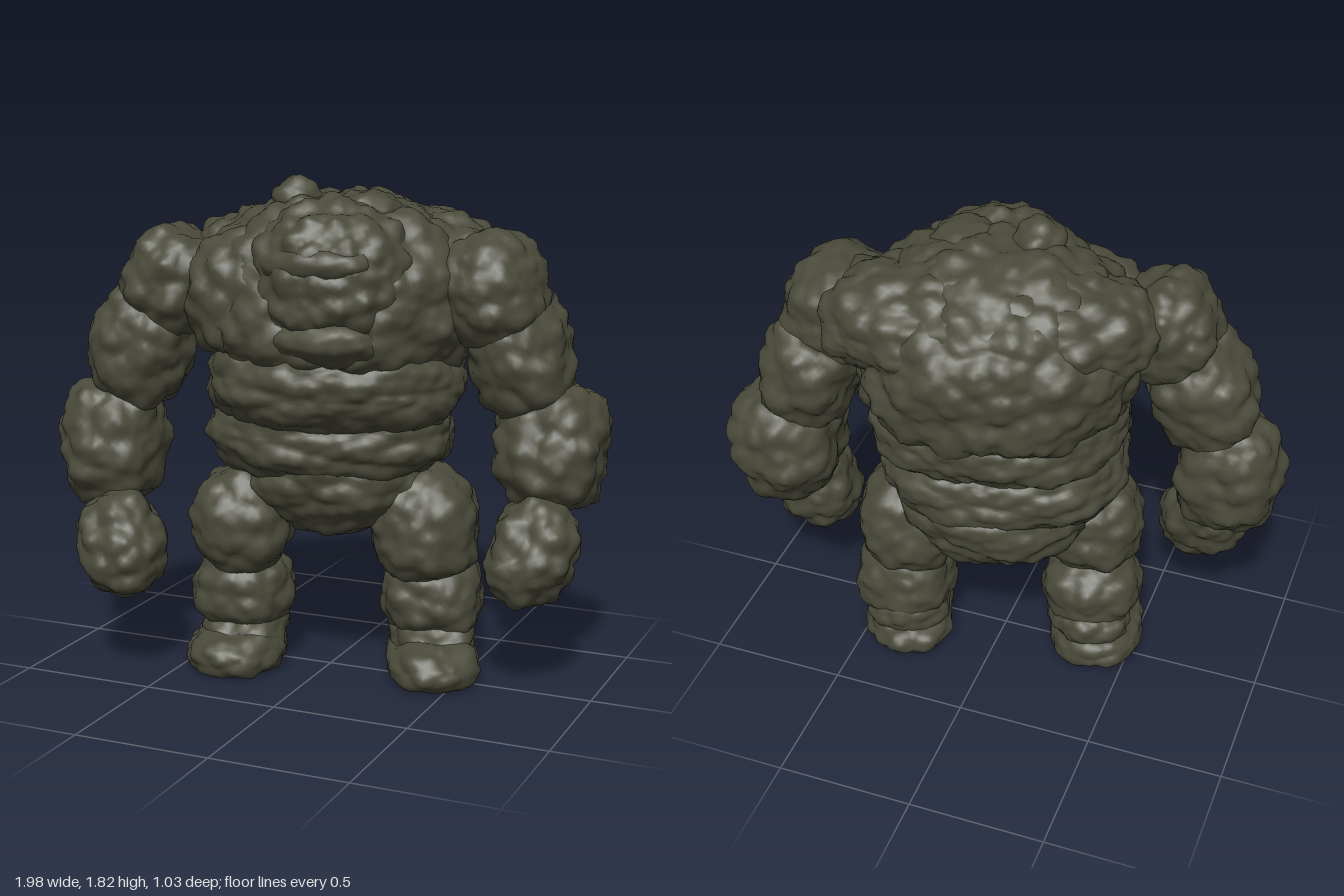
import * as THREE from 'three';
import { mergeVertices } from 'three/addons/utils/BufferGeometryUtils.js';

const stone = new THREE.MeshStandardMaterial({ color: 0x4a4a3b });
stone.name = 'dark olive stone';

// seeded value in 0..1 for a lattice cell
function hash(x, y, z, k) {
  const s = Math.sin(x * 127.1 + y * 311.7 + z * 74.7 + k * 53.3) * 43758.5453;
  return s - Math.floor(s);
}

// distance to the nearest scattered point: low on cobbles, high in the cracks
function cobble(x, y, z) {
  const cx = Math.floor(x), cy = Math.floor(y), cz = Math.floor(z);
  let best = 9;
  for (let i = cx - 1; i <= cx + 1; i++)
    for (let j = cy - 1; j <= cy + 1; j++)
      for (let k = cz - 1; k <= cz + 1; k++) {
        const dx = i + hash(i, j, k, 1) - x;
        const dy = j + hash(i, j, k, 2) - y;
        const dz = k + hash(i, j, k, 3) - z;
        best = Math.min(best, dx * dx + dy * dy + dz * dz);
      }
  return Math.sqrt(best);
}

// a rounded boulder whose surface is broken into cobbles
function boulder(parent, name, centre, radii, opt = {}) {
  const { detail = 13, cell = [0.13, 0.11, 0.13], amp = 0.045, n = 2.4, rot = [0, 0, 0], floor = -1 } = opt;
  let geo = new THREE.IcosahedronGeometry(1, detail);
  geo.deleteAttribute('uv');
  geo.deleteAttribute('normal');
  geo = mergeVertices(geo, 1e-4);
  const turn = new THREE.Euler(...rot);
  const c = new THREE.Vector3(...centre);
  const r = new THREE.Vector3(...radii);
  const p = geo.attributes.position;
  const v = new THREE.Vector3(), dir = new THREE.Vector3();
  for (let i = 0; i < p.count; i++) {
    v.fromBufferAttribute(p, i);
    const s = (Math.abs(v.x) ** n + Math.abs(v.y) ** n + Math.abs(v.z) ** n) ** (-1 / n);
    dir.copy(v).divide(r).normalize().applyEuler(turn);
    v.multiplyScalar(s).multiply(r).applyEuler(turn).add(c);
    const big = cobble(v.x / cell[0], v.y / cell[1], v.z / cell[2]);
    const small = cobble(v.x / 0.06 + 9, v.y / 0.05, v.z / 0.06);
    v.addScaledVector(dir, amp * (0.45 - big) + 0.02 * (0.5 - small));
    v.y = Math.max(v.y, floor);
    p.setXYZ(i, v.x, v.y, v.z);
  }
  geo.computeVertexNormals();
  const mesh = new THREE.Mesh(geo, stone);
  mesh.name = name;
  parent.add(mesh);
}

function group(parent, name) {
  const g = new THREE.Group();
  g.name = name;
  parent.add(g);
  return g;
}

export function createModel() {
  const model = new THREE.Group();
  model.name = 'rockGiant';

  // torso, twisted so that its left side lies back
  const torso = group(model, 'torso');
  const twist = [0, 0.25, 0];
  boulder(torso, 'upperBack', [0.02, 1.5, -0.11], [0.6, 0.24, 0.32],
    { detail: 25, cell: [0.11, 0.11, 0.11], amp: 0.05, n: 2.1, rot: twist });
  boulder(torso, 'chest', [0.01, 1.37, -0.05], [0.5, 0.4, 0.44],
    { detail: 28, cell: [0.13, 0.13, 0.13], amp: 0.055, n: 2.2, rot: twist });
  boulder(torso, 'rightPectoral', [-0.24, 1.4, 0.18], [0.23, 0.25, 0.19],
    { detail: 12, cell: [0.11, 0.11, 0.11], n: 2.1 });
  boulder(torso, 'belly', [0.01, 1.1, -0.03], [0.475, 0.22, 0.4],
    { detail: 24, cell: [0.24, 0.1, 0.24], n: 2.3, rot: twist });
  boulder(torso, 'waist', [-0.02, 0.9, -0.06], [0.445, 0.2, 0.35],
    { detail: 22, cell: [0.24, 0.1, 0.24], rot: twist });
  boulder(torso, 'pelvis', [0, 0.75, -0.08], [0.36, 0.24, 0.33],
    { detail: 19, cell: [0.2, 0.1, 0.2], n: 2.1, rot: twist });

  // head sunk into the chest
  const head = group(model, 'head');
  boulder(head, 'skull', [0.07, 1.47, 0.14], [0.31, 0.29, 0.28],
    { detail: 19, cell: [0.09, 0.09, 0.09], amp: 0.045, n: 2.1 });
  boulder(head, 'brow', [0.07, 1.55, 0.31], [0.21, 0.07, 0.11], { detail: 6, amp: 0.03, n: 2 });
  boulder(head, 'jaw', [0.08, 1.28, 0.26], [0.23, 0.1, 0.16], { detail: 8, amp: 0.03, n: 2 });
  boulder(head, 'crownStone', [-0.1, 1.74, 0.05], [0.1, 0.08, 0.1], { detail: 5, amp: 0.02, n: 1.7 });
  boulder(head, 'crownStone', [0.15, 1.71, 0.02], [0.12, 0.07, 0.12], { detail: 5, amp: 0.02, n: 2 });

  // right arm reaches forward, left arm swings back
  const arms = {
    right: [
      ['shoulder', [-0.54, 1.44, 0.15], [0.18, 0.2, 0.19], [0, 0, -0.4]],
      ['upperArm', [-0.68, 1.19, 0.17], [0.185, 0.24, 0.18], [0, 0, -0.35]],
      ['forearm', [-0.79, 0.84, 0.19], [0.195, 0.25, 0.19], [-0.2, 0, 0.06]],
      ['fist', [-0.68, 0.49, 0.35], [0.16, 0.2, 0.15], [-0.35, 0, 0.45]],
    ],
    left: [
      ['shoulder', [0.57, 1.44, -0.1], [0.19, 0.21, 0.22], [0, 0, 0.5]],
      ['upperArm', [0.67, 1.2, -0.16], [0.175, 0.24, 0.21], [0, 0, 0.28]],
      ['forearm', [0.78, 0.87, -0.19], [0.2, 0.24, 0.22], [-0.15, 0, -0.05]],
      ['fist', [0.77, 0.53, -0.01], [0.15, 0.2, 0.16], [-0.35, 0, -0.28]],
    ],
  };
  for (const [side, parts] of Object.entries(arms)) {
    const arm = group(model, side + 'Arm');
    for (const [name, centre, radii, rot] of parts) boulder(arm, name, centre, radii, { rot });
  }

  // legs: thigh, shin, ankle and a flat-soled foot turned toward the left
  const legs = {
    right: [
      ['thigh', [-0.31, 0.56, 0.09], [0.185, 0.21, 0.19], [0, 0.2, 0]],
      ['shin', [-0.33, 0.29, 0.05], [0.185, 0.17, 0.18], [0, 0.2, 0]],
      ['ankle', [-0.33, 0.14, 0.05], [0.165, 0.1, 0.2], [0.25, 0.3, 0]],
      ['foot', [-0.34, 0.07, 0.09], [0.18, 0.1, 0.26], [0, 0.3, 0]],
    ],
    left: [
      ['thigh', [0.33, 0.56, -0.1], [0.2, 0.22, 0.21], [0, 0.2, 0.15]],
      ['shin', [0.36, 0.29, -0.13], [0.185, 0.18, 0.18], [0, 0.2, 0]],
      ['ankle', [0.36, 0.14, -0.12], [0.165, 0.11, 0.2], [0.25, 0.4, 0]],
      ['foot', [0.375, 0.07, -0.07], [0.175, 0.1, 0.28], [0, 0.42, 0]],
    ],
  };
  for (const [side, parts] of Object.entries(legs)) {
    const leg = group(model, side + 'Leg');
    for (const [name, centre, radii, rot] of parts)
      boulder(leg, name, centre, radii, { rot, detail: 12, amp: 0.035, floor: 0.01 });
  }

  return model;
}
